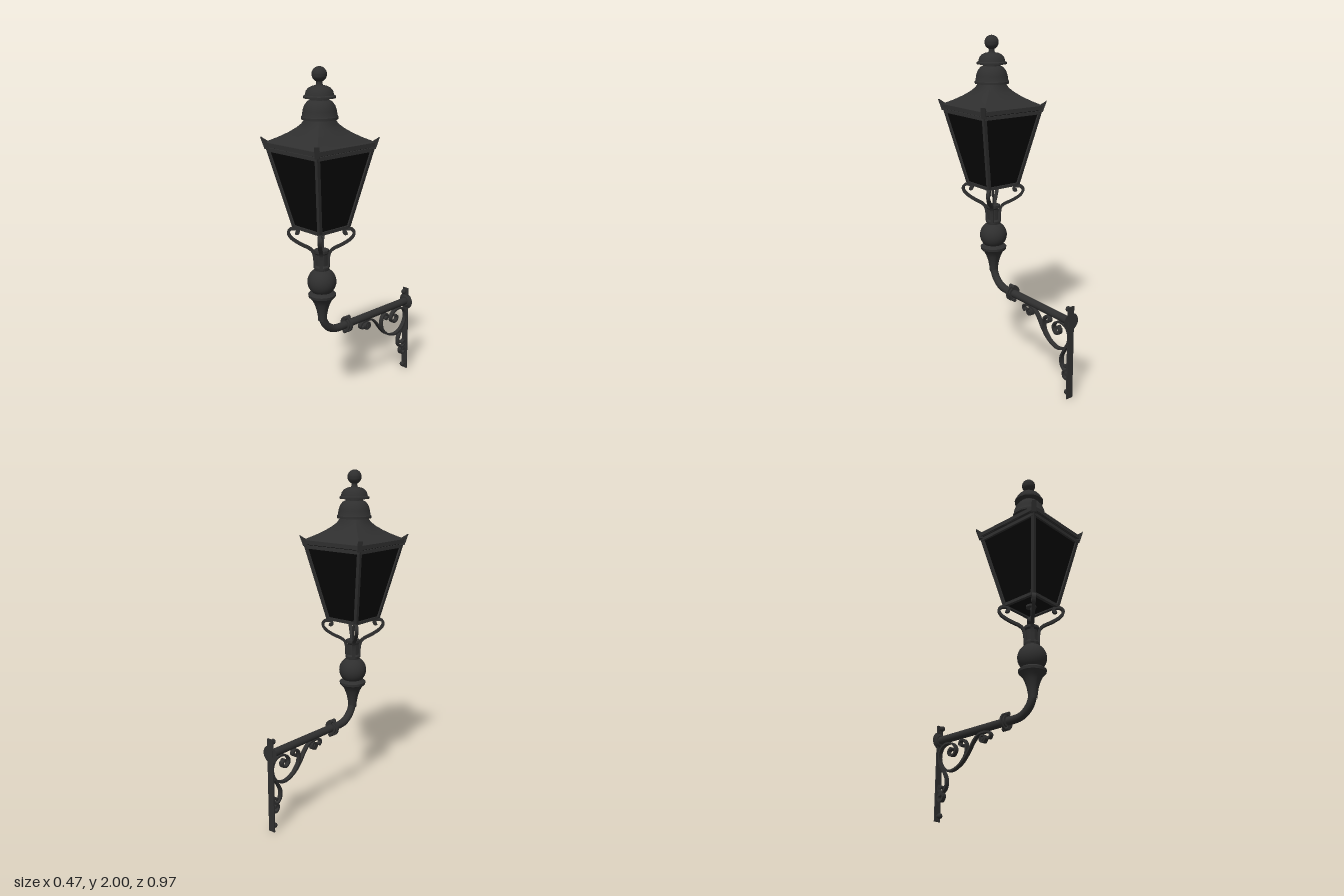
import * as THREE from 'three';
import { toCreasedNormals } from 'three/addons/utils/BufferGeometryUtils.js';

const V2 = (x, y) => new THREE.Vector2(x, y);
const V3 = (x, y, z) => new THREE.Vector3(x, y, z);

export function createModel() {
  const iron = new THREE.MeshStandardMaterial({ color: 0x2f2f2f });
  const glass = new THREE.MeshStandardMaterial({ color: 0x070707 });
  iron.name = 'cast iron';
  glass.name = 'dark glass';
  const model = new THREE.Group();
  model.name = 'wallLantern';
  const post = new THREE.Group(); // everything on the lantern's vertical axis
  post.name = 'lantern';
  post.position.z = 0.25;
  const bracket = new THREE.Group();
  bracket.name = 'wallBracket';
  model.add(post, bracket);

  const add = (parent, name, geo, mat = iron) => {
    const m = new THREE.Mesh(geo, mat);
    m.name = name;
    parent.add(m);
    return m;
  };
  const lathe = (pts, seg = 32) =>
    toCreasedNormals(new THREE.LatheGeometry(pts.map(p => V2(p[0], p[1])), seg), 0.6);
  const arc = (cy, r, from, to, n = 14) => Array.from({ length: n + 1 }, (_, i) => {
    const a = from + (to - from) * i / n;
    return [Math.max(0, r * Math.cos(a)), cy + r * Math.sin(a)];
  });
  // Flat plate outline in the z-y plane, given width across x
  const plate = (pts, width) => {
    const geo = new THREE.ExtrudeGeometry(new THREE.Shape(pts), { depth: width, bevelEnabled: false });
    geo.translate(0, 0, -width / 2);
    geo.rotateY(-Math.PI / 2);
    return toCreasedNormals(geo, 0.6);
  };
  // Flat iron strip following a smooth curve through [z, y] points
  const strip = (pts, thick, width) => {
    const curve = new THREE.SplineCurve(pts.map(p => V2(p[0], p[1])));
    const n = pts.length * 5, a = [], b = [];
    for (let i = 0; i <= n; i++) {
      const p = curve.getPoint(i / n), t = curve.getTangent(i / n);
      a.push(V2(p.x - t.y * thick / 2, p.y + t.x * thick / 2));
      b.unshift(V2(p.x + t.y * thick / 2, p.y - t.x * thick / 2));
    }
    return plate([...a, ...b], width);
  };
  // Square bar between two points
  const bar = (name, p, q, w, roll = 0) => {
    const geo = new THREE.BoxGeometry(w, w, p.distanceTo(q));
    geo.rotateZ(roll);
    const m = add(post, name, geo);
    m.position.copy(p).add(q).multiplyScalar(0.5);
    m.lookAt(q.clone().add(post.position));
    m.up.set(0, 1, 0);
    m.quaternion.setFromRotationMatrix(new THREE.Matrix4().lookAt(q, p, m.up));
  };

  // Baluster: flared stem, collar, ball and neck
  add(post, 'baluster', lathe([
    [0.025, 0.56], [0.027, 0.59], [0.034, 0.63], [0.046, 0.665], [0.058, 0.69], [0.078, 0.71],
    [0.08, 0.725], [0.064, 0.738], ...arc(0.8, 0.083, -0.8, 1.05),
    [0.042, 0.875], [0.042, 0.89], [0.034, 0.9], [0.034, 0.965], [0.042, 0.975], [0.042, 0.99], [0, 0.99],
  ]));
  add(post, 'gasPipe', new THREE.CylinderGeometry(0.005, 0.005, 0.16, 8)).position.y = 1.055;
  add(post, 'pipeFlange', new THREE.CylinderGeometry(0.03, 0.03, 0.012, 16)).position.y = 1.118;

  // Glass box, tapering downwards
  const top = { y: 1.575, h: 0.2 }, low = { y: 1.125, h: 0.105 };
  const box = new THREE.CylinderGeometry(top.h * Math.SQRT2, low.h * Math.SQRT2, top.y - low.y, 4).toNonIndexed();
  box.rotateY(Math.PI / 4);
  box.computeVertexNormals();
  add(post, 'glassBox', box, glass).position.y = (top.y + low.y) / 2;

  // Frame, corner ears and scrolled supports, one set per corner
  for (let i = 0; i < 4; i++) {
    const a = Math.PI / 4 + i * Math.PI / 2;
    const corner = (h, y, ang = a) => V3(Math.sin(ang) * h * Math.SQRT2, y, Math.cos(ang) * h * Math.SQRT2);
    const b = a + Math.PI / 2;
    bar('cornerBar', corner(0.104, 1.12), corner(0.2, 1.575), 0.02, Math.PI / 4);
    bar('lowerRail', corner(0.106, 1.126), corner(0.106, 1.126, b), 0.018);
    bar('upperRail', corner(0.197, 1.56), corner(0.197, 1.56, b), 0.02);
    bar('eavesRail', corner(0.207, 1.588), corner(0.207, 1.588, b), 0.024);
    const k = Math.SQRT2;
    const ear = [[0.196, 1.565], [0.212, 1.565], [0.218, 1.59], [0.227, 1.628], [0.216, 1.618], [0.198, 1.602]];
    add(post, 'cornerEar', plate(ear.map(p => V2(p[0] * k, p[1])), 0.026)).rotation.y = a;
    const arm = [[0.026, 0.88], [0.03, 0.96], [0.045, 0.995], [0.085, 1.025], [0.118, 1.058], [0.13, 1.09],
      [0.12, 1.112], [0.1, 1.113], [0.09, 1.1], [0.094, 1.086], [0.103, 1.09]];
    add(post, 'scrollSupport', strip(arm.map(p => [p[0] * k, p[1]]), 0.016, 0.02)).rotation.y = a;
  }

  // Roof: square at the eaves, blending to round at the top
  const roofPts = [[0.212, 1.575], [0.212, 1.6], [0.16, 1.628], [0.128, 1.653], [0.104, 1.678],
    [0.087, 1.7], [0.076, 1.735]];
  const roof = new THREE.LatheGeometry(roofPts.map(p => V2(p[0], p[1])), 48);
  const pos = roof.attributes.position;
  for (let i = 0; i < pos.count; i++) {
    const x = pos.getX(i), y = pos.getY(i), z = pos.getZ(i);
    const square = Math.hypot(x, z) / Math.max(Math.abs(x), Math.abs(z));
    const s = 1 + (square - 1) * THREE.MathUtils.clamp((1.735 - y) / 0.1, 0, 1);
    pos.setXYZ(i, x * s, y, z * s);
  }
  add(post, 'roof', toCreasedNormals(roof, 0.5));

  // Two vent caps and the ball finial
  add(post, 'lowerVent', lathe([
    [0.07, 1.725], [0.1, 1.725], [0.1, 1.738], [0.095, 1.745], [0.092, 1.77], [0.083, 1.797],
    [0.067, 1.818], [0.05, 1.826], [0.05, 1.845],
  ]));
  add(post, 'upperVent', lathe([
    [0.05, 1.836], [0.087, 1.836], [0.087, 1.846], [0.078, 1.852], [0.073, 1.872], [0.06, 1.888],
    [0.04, 1.898], [0.02, 1.902], [0.016, 1.912], [0.018, 1.93],
  ]));
  add(post, 'finial', lathe(arc(1.959, 0.041, -Math.PI / 2, Math.PI / 2, 16), 24)).position.y = 0;

  // Swan-neck pipe running back to the wall
  const bend = [V3(0, 0.62, 0.25)];
  for (let i = 0; i <= 6; i++) {
    const a = i * Math.PI / 12;
    bend.push(V3(0, 0.6 - 0.125 * Math.sin(a), 0.125 + 0.125 * Math.cos(a)));
  }
  bend.push(V3(0, 0.475, 0.05), V3(0, 0.475, -0.2), V3(0, 0.475, -0.475));
  add(bracket, 'armPipe', new THREE.TubeGeometry(new THREE.CatmullRomCurve3(bend), 72, 0.0235, 16));

  const disc = (name, r1, r2, len, y, z) => {
    const geo = new THREE.CylinderGeometry(r1, r2, len, 24);
    geo.rotateX(Math.PI / 2);
    add(bracket, name, geo).position.set(0, y, z);
  };
  // Coupling with clamp bolts
  disc('coupling', 0.036, 0.036, 0.03, 0.475, 0.055);
  disc('couplingFlange', 0.048, 0.048, 0.012, 0.475, 0.055);
  for (const y of [0.434, 0.516]) disc('couplingBolt', 0.012, 0.012, 0.046, y, 0.055);

  // Wall plate, rosette and fixing bolts
  add(bracket, 'wallPlate', new THREE.BoxGeometry(0.042, 0.565, 0.008)).position.set(0, 0.2825, -0.476);
  disc('wallRosette', 0.03, 0.052, 0.014, 0.475, -0.472);
  for (const y of [0.03, 0.545]) {
    add(bracket, 'wallBolt', new THREE.SphereGeometry(0.016, 12, 8)).position.set(0, y, -0.455);
    disc('boltShank', 0.009, 0.009, 0.02, y, -0.465);
  }

  // Wrought scrolls under the arm, each ending in a small bead
  const scrolls = [
    [[-0.12, 0.395], [-0.135, 0.405], [-0.13, 0.43], [-0.11, 0.43], [-0.096, 0.412], [-0.108, 0.394],
      [-0.122, 0.4], [-0.116, 0.412]],
    [[-0.085, 0.418], [-0.07, 0.408], [-0.058, 0.425], [-0.072, 0.444], [-0.11, 0.45], [-0.155, 0.443],
      [-0.195, 0.41], [-0.24, 0.35], [-0.29, 0.303], [-0.36, 0.276], [-0.42, 0.29], [-0.46, 0.335],
      [-0.468, 0.39], [-0.445, 0.432], [-0.4, 0.445], [-0.355, 0.43], [-0.333, 0.395], [-0.352, 0.365],
      [-0.383, 0.37], [-0.39, 0.395], [-0.372, 0.405]],
    [[-0.29, 0.305], [-0.255, 0.345], [-0.246, 0.395], [-0.26, 0.432], [-0.288, 0.44], [-0.302, 0.42],
      [-0.285, 0.41]],
    [[-0.455, 0.318], [-0.425, 0.275], [-0.405, 0.23], [-0.41, 0.185], [-0.438, 0.162], [-0.464, 0.178],
      [-0.46, 0.202], [-0.445, 0.192]],
    [[-0.438, 0.162], [-0.426, 0.14], [-0.438, 0.116], [-0.46, 0.116], [-0.468, 0.138], [-0.452, 0.148]],
  ];
  for (const pts of scrolls) {
    add(bracket, 'scroll', strip(pts, 0.011, 0.026));
    const bead = new THREE.CylinderGeometry(0.01, 0.01, 0.03, 12);
    bead.rotateZ(Math.PI / 2);
    const end = pts[pts.length - 1];
    add(bracket, 'scrollBead', bead).position.set(0, end[1], end[0]);
  }
  return model;
}
